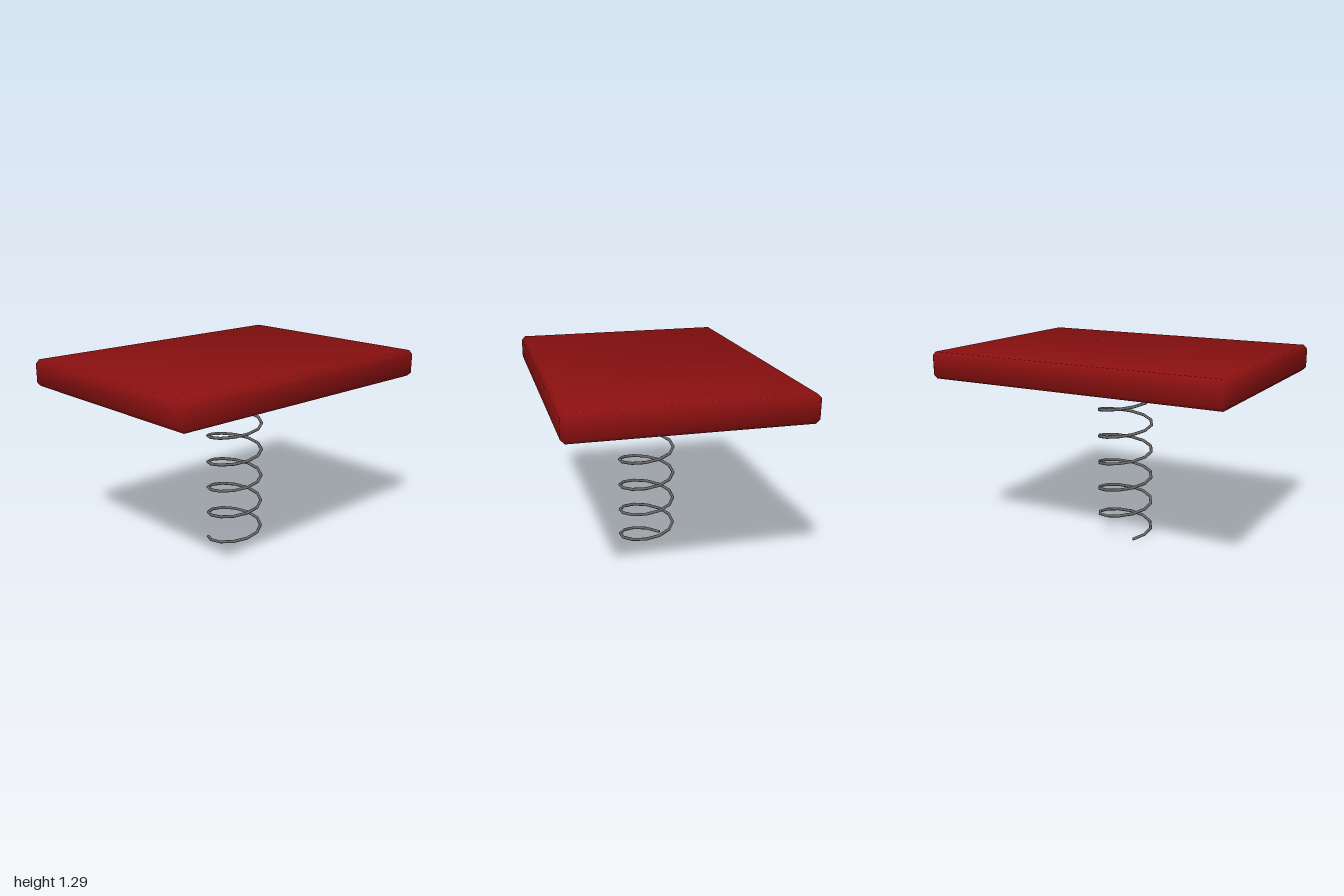
import * as THREE from 'three';
import { ConvexGeometry } from 'three/addons/geometries/ConvexGeometry.js';

// Box with a single soft bevel; normals lean outwards at every corner point.
function bevelledBox(w, h, d, bevel) {
  const half = [w / 2, h / 2, d / 2];
  const points = [];
  for (const sx of [-1, 1]) for (const sy of [-1, 1]) for (const sz of [-1, 1]) {
    const s = [sx, sy, sz];
    for (let axis = 0; axis < 3; axis++) {
      points.push(new THREE.Vector3(...s.map((v, i) => v * (half[i] - (i === axis ? 0 : bevel)))));
    }
  }
  const geometry = new ConvexGeometry(points);
  const pos = geometry.attributes.position;
  for (let i = 0; i < pos.count; i++) {
    const n = [pos.getX(i), pos.getY(i), pos.getZ(i)].map((v, k) =>
      Math.sign(v) * (Math.abs(v) > half[k] - bevel / 2 ? 1 : 0.38));
    geometry.attributes.normal.setXYZ(i, ...new THREE.Vector3(...n).normalize().toArray());
  }
  return geometry;
}

// Rising helix, starting at the back right and winding towards the front.
class Helix extends THREE.Curve {
  constructor(radius, bottom, height, turns) {
    super();
    Object.assign(this, { radius, bottom, height, turns });
  }
  getPoint(t, target = new THREE.Vector3()) {
    const a = Math.PI * 1.25 - t * this.turns * Math.PI * 2;
    return target.set(Math.cos(a) * this.radius, this.bottom + t * this.height, Math.sin(a) * this.radius);
  }
}

export function createModel() {
  const red = new THREE.MeshStandardMaterial({ color: 0x8b1010 });
  red.name = 'dark red';
  const grey = new THREE.MeshStandardMaterial({ color: 0x666666, side: THREE.DoubleSide });
  grey.name = 'steel grey';

  const model = new THREE.Group();
  model.name = 'springPlatform';

  // Platform slab
  const slab = new THREE.Mesh(bevelledBox(2, 0.172, 1.46, 0.025), red);
  slab.name = 'platform';
  slab.position.y = 1.204;
  model.add(slab);

  // Coil spring: six turns of twelve straight segments, slightly off centre
  const turns = 6;
  const helix = new Helix(0.18, 0.013, 1.098, turns);
  const spring = new THREE.Group();
  spring.name = 'spring';
  spring.position.set(0.015, 0, 0.035);
  const coil = new THREE.Mesh(new THREE.TubeGeometry(helix, turns * 12, 0.01, 8), grey);
  coil.name = 'coil';
  spring.add(coil);

  // Wire end caps
  for (const t of [0, 1]) {
    const cap = new THREE.Mesh(new THREE.CircleGeometry(0.01, 8), grey);
    cap.name = t ? 'topWireEnd' : 'bottomWireEnd';
    cap.position.copy(helix.getPoint(t));
    const out = helix.getTangent(t).multiplyScalar(t ? 1 : -1);
    cap.quaternion.setFromUnitVectors(new THREE.Vector3(0, 0, 1), out);
    spring.add(cap);
  }
  model.add(spring);
  return model;
}
